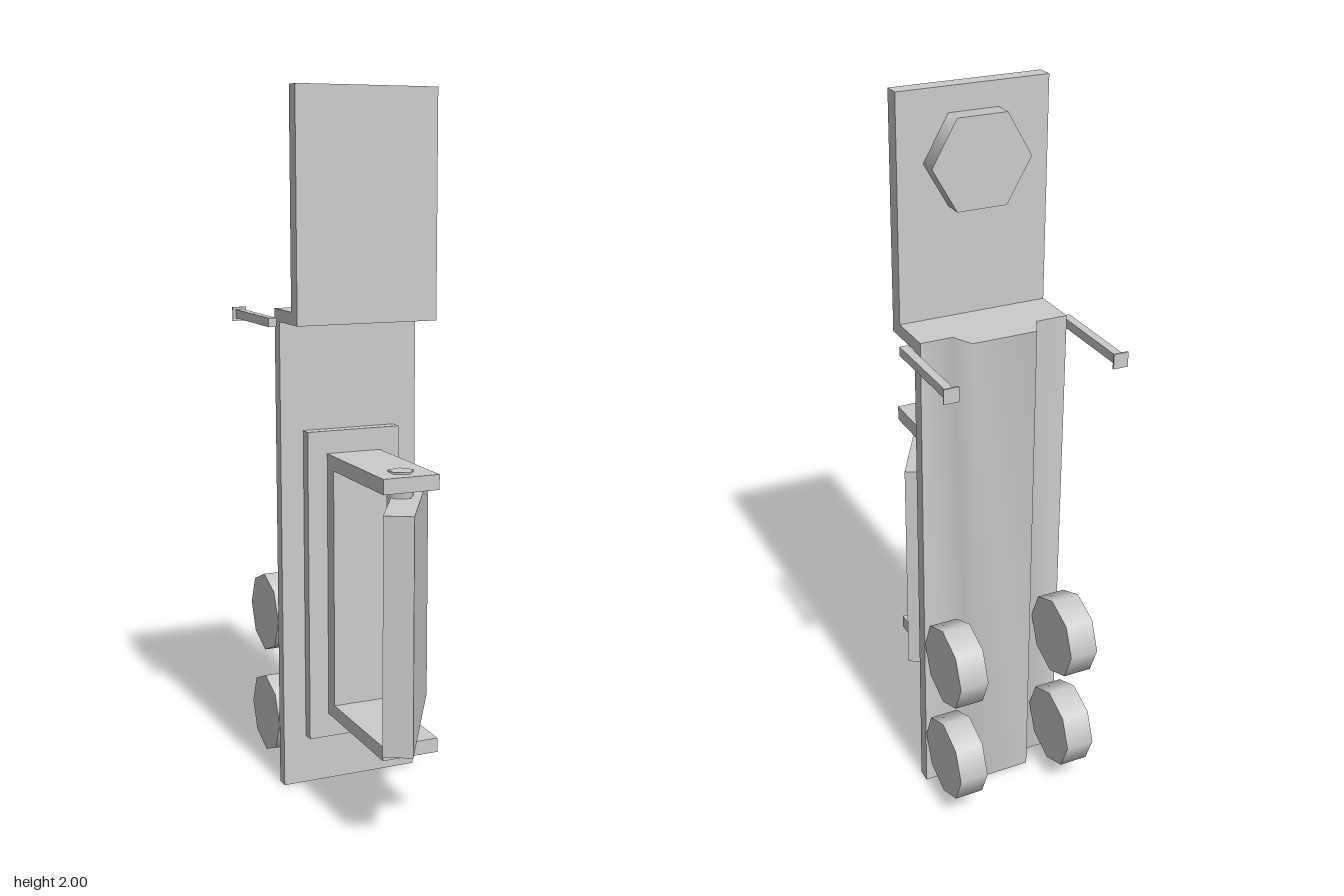
import * as THREE from 'three';
import { toCreasedNormals } from 'three/addons/utils/BufferGeometryUtils.js';

const material = new THREE.MeshStandardMaterial({ color: 0xcccccc });

export function createModel() {
  const model = new THREE.Group();

  const add = (name, geometry) => {
    const mesh = new THREE.Mesh(geometry, material);
    mesh.name = name;
    model.add(mesh);
    return mesh;
  };

  // Box given by its minimum and maximum corners
  const box = (name, [x0, y0, z0], [x1, y1, z1]) => {
    const mesh = add(name, new THREE.BoxGeometry(x1 - x0, y1 - y0, z1 - z0));
    mesh.position.set((x0 + x1) / 2, (y0 + y1) / 2, (z0 + z1) / 2);
    return mesh;
  };

  const extrude = (points, depth) => new THREE.ExtrudeGeometry(
    new THREE.Shape(points.map(([x, y]) => new THREE.Vector2(x, y))),
    { depth, bevelEnabled: false });

  // Profile in (z, y), swept symmetrically across x
  const sweepX = (name, points, width) => {
    const g = extrude(points.map(([z, y]) => [-z, y]), width);
    g.translate(0, 0, -width / 2).rotateY(Math.PI / 2);
    return add(name, g);
  };

  // Column: flat plate with a raised rib down the back, profile in (x, -z)
  const column = extrude([
    [-0.208, 0.155], [0.208, 0.155], [0.208, 0.192], [0.119, 0.192],
    [0.091, 0.249], [-0.091, 0.249], [-0.119, 0.192], [-0.208, 0.192],
  ], 1.4);
  column.rotateX(-Math.PI / 2);
  add('column', toCreasedNormals(column, 1.2));

  // Upper plate with its shelf
  sweepX('upperPlate', [
    [-0.017, 1.365], [-0.017, 2], [-0.062, 2], [-0.062, 1.4],
    [-0.156, 1.4], [-0.156, 1.365],
  ], 0.416);

  // Hexagonal knob behind the upper plate
  const knob = add('knob', new THREE.CylinderGeometry(0.137, 0.137, 0.052, 6, 1, false, Math.PI / 2));
  knob.rotation.x = Math.PI / 2;
  knob.position.set(0, 1.815, -0.088);

  // Hinge: mounting plate and C-shaped bracket
  box('hingePlate', [-0.14, 0.145, -0.156], [0.14, 1.055, -0.12]);
  sweepX('hingeBracket', [
    [-0.12, 0.215], [0.267, 0.215], [0.267, 0.255], [-0.073, 0.255],
    [-0.073, 0.948], [0.267, 0.948], [0.267, 0.99], [-0.12, 0.99],
  ], 0.163);

  // Five-sided pin through the bracket arms
  const pin = add('hingePin', new THREE.CylinderGeometry(0.037, 0.037, 0.795, 5, 1, false, Math.PI / 2));
  pin.position.set(0, 0.5975, 0.2);

  // Swinging panel, turned about the pin
  const panel = add('swingPanel', new THREE.BoxGeometry(0.08, 0.643, 0.481));
  panel.position.set(0.018, 0.6025, 0.199);
  panel.rotation.y = -Math.PI / 6;

  for (const side of [-1, 1]) {
    // Octagonal wheels
    for (const [level, y] of [['lower', 0.172], ['upper', 0.487]]) {
      const wheel = add(level + 'Wheel', new THREE.CylinderGeometry(0.117, 0.117, 0.081, 8));
      wheel.rotation.z = Math.PI / 2;
      wheel.position.set(side * 0.167, y, -0.311);
    }
    // Square rod with a thin head
    const rod = box('sideRod', [0.221, 1.353, -0.426], [0.244, 1.378, -0.143]);
    const head = box('sideRodHead', [0.212, 1.345, -0.429], [0.253, 1.385, -0.424]);
    rod.position.x *= side;
    head.position.x *= side;
  }

  return model;
}
